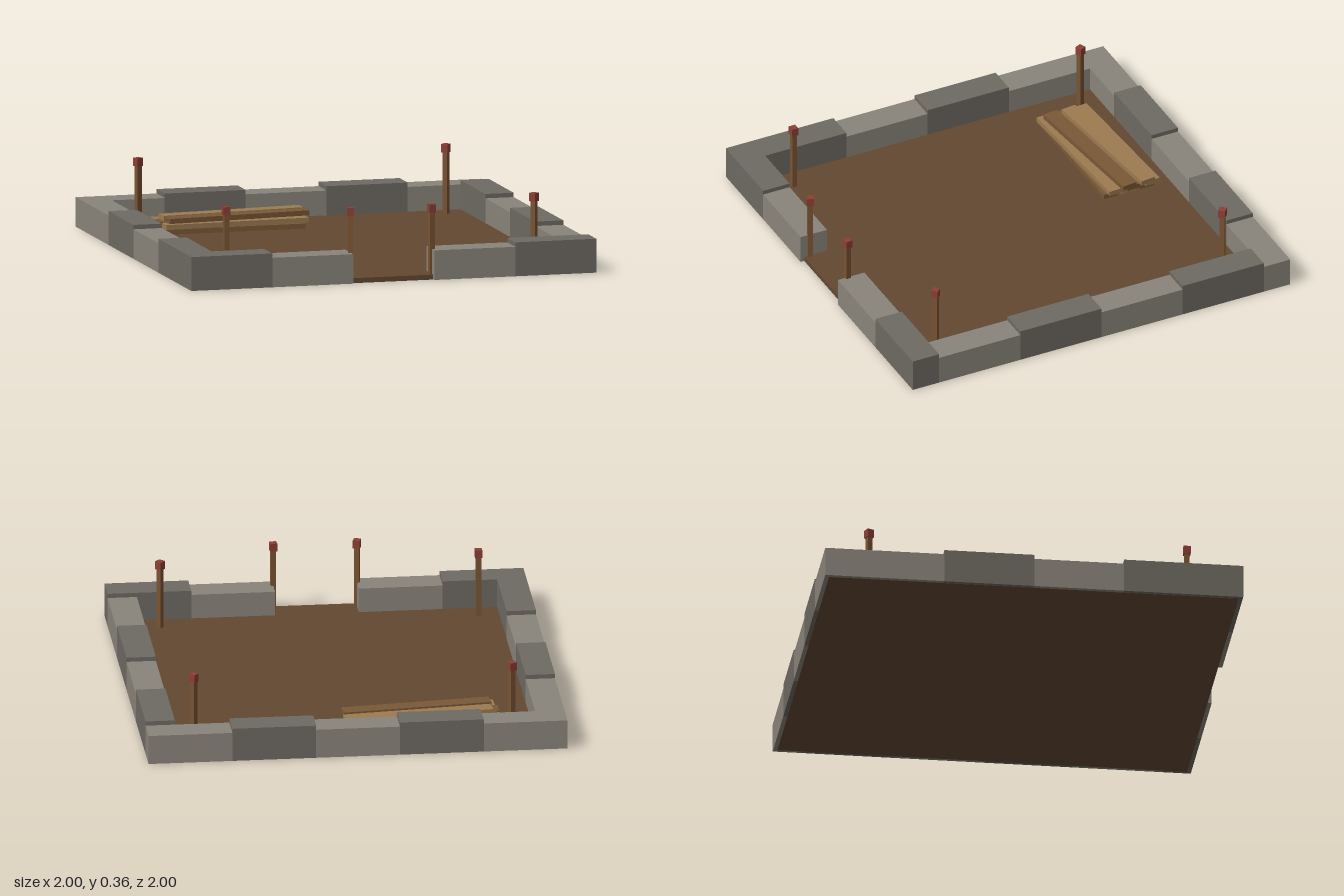
import * as THREE from 'three';

const mat = (color) => new THREE.MeshStandardMaterial({ color, flatShading: true });
const stoneLight = mat(0x8a857b), stoneDark = mat(0x6e6a63), earth = mat(0x634832);
const postWood = mat(0x7a5432), paint = mat(0x8c3f35);
const plankLight = mat(0x9c7b50), plankDark = mat(0x7a5836);

// Box whose underside sits at height y
function box(name, material, w, h, d, x, y, z, turn = 0) {
  const mesh = new THREE.Mesh(new THREE.BoxGeometry(w, h, d), material);
  mesh.name = name;
  mesh.position.set(x, y + h / 2, z);
  mesh.rotation.y = turn;
  return mesh;
}

export function createModel() {
  const model = new THREE.Group();

  // Earth floor, running out under the walls and through the gateway
  model.add(box('floor', earth, 1.96, 0.024, 1.96, 0, 0, 0));

  // Foundation walls of alternating low light and tall dark blocks
  const walls = new THREE.Group();
  walls.name = 'foundationWalls';
  const T = 0.14, mid = 1 - T / 2, base = 0.001;
  const block = (dark, w, d, x, z) => walls.add(
    box('stoneBlock', dark ? stoneDark : stoneLight, w, (dark ? 0.164 : 0.143) - base, d, x, base, z));
  for (let i = 0; i < 5; i++) {
    const x = -0.8 + i * 0.4;
    block(i % 2 === 1, 0.4, T, x, -mid);
    if (i !== 2) block(i % 2 === 0, 0.4, T, x, mid); // gateway in the middle
  }
  const step = (2 - 2 * T) / 4;
  for (let i = 0; i < 4; i++) {
    const z = -1 + T + step * (i + 0.5);
    block(i % 2 === 1, T, step, -mid, z);
    block(i % 2 === 0, T, step, mid, z);
  }
  model.add(walls);

  // Marker stakes with painted tops: x, z, turn
  const stakes = [
    [-0.76, 0.76, 0], [0.76, 0.76, 0.75], [-0.76, -0.76, 0.4], [0.76, -0.76, 0.85],
    [-0.2, 0.95, -0.3], [0.2, 0.95, 0.1],
  ];
  for (const [x, z, turn] of stakes) {
    const stake = new THREE.Group();
    stake.name = 'markerStake';
    stake.position.set(x, 0, z);
    stake.rotation.y = turn;
    stake.add(box('stakePost', postWood, 0.025, 0.306, 0.025, 0, 0.015, 0));
    stake.add(box('stakeCap', paint, 0.034, 0.04, 0.034, 0, 0.319, 0));
    model.add(stake);
  }

  // Stack of planks, each layer turned a little further
  const stack = new THREE.Group();
  stack.name = 'plankStack';
  const layers = [
    { x: -0.36, turn: 0, rows: [-0.738, -0.642, -0.546] },
    { x: -0.34, turn: 0.046, rows: [-0.742, -0.645, -0.55] },
    { x: -0.32, turn: 0.1, rows: [-0.69, -0.593] },
  ];
  layers.forEach(({ x, turn, rows }, level) => rows.forEach((z, i) => {
    const light = level === 2 ? i === 0 : (i + level) % 2 === 1;
    stack.add(box('plank', light ? plankLight : plankDark, 0.715, 0.024, 0.074, x, 0.024 + level * 0.0245, z, turn));
  }));
  model.add(stack);

  return model;
}
